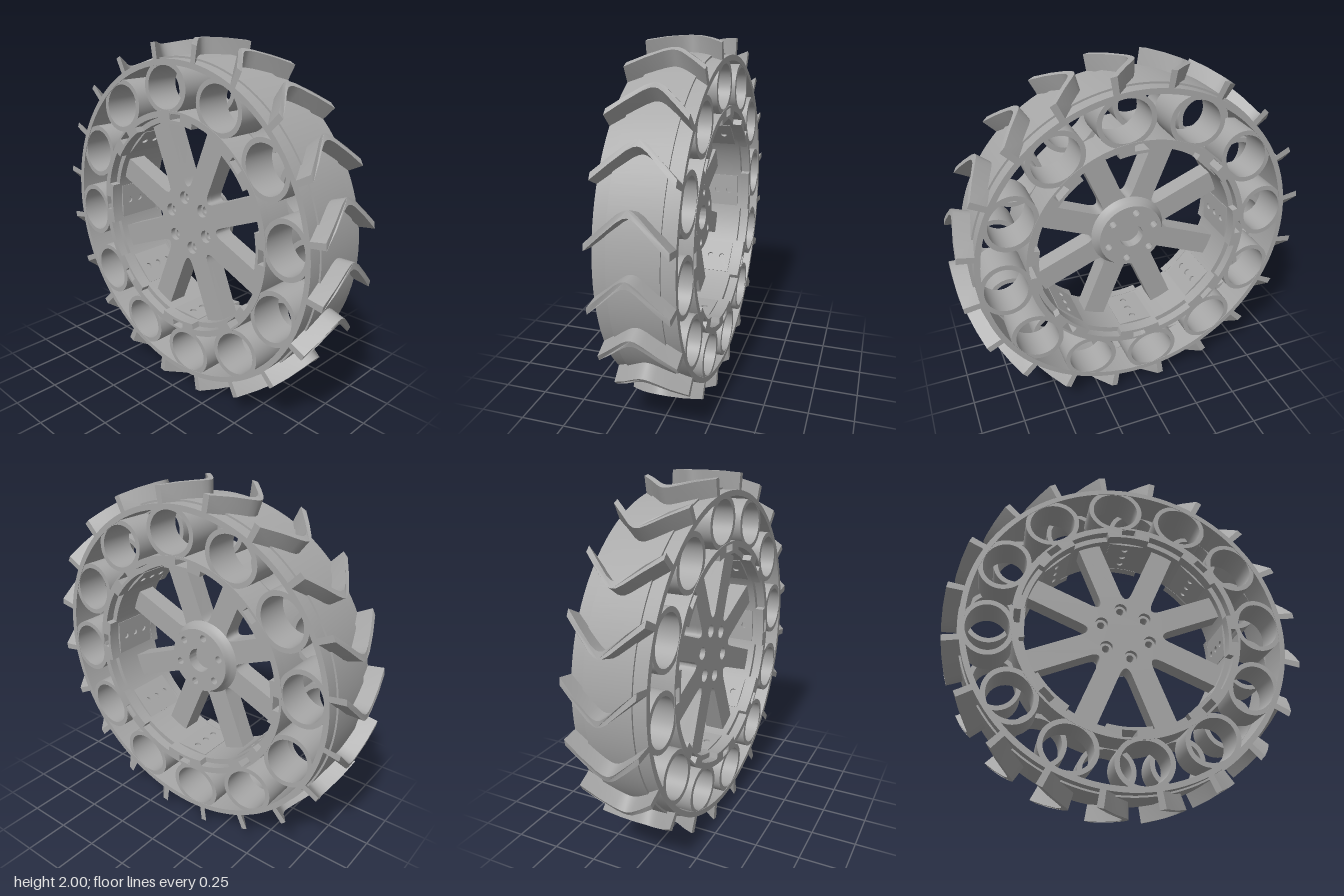
import * as THREE from 'three';
import { toCreasedNormals } from 'three/addons/utils/BufferGeometryUtils.js';

const TAU = Math.PI * 2;
const rad = THREE.MathUtils.degToRad;
const grey = new THREE.MeshStandardMaterial({ color: 0xa8a8a8 });
grey.name = 'grey plastic';

export function createModel() {
  const wheel = new THREE.Group();
  wheel.name = 'wheel';
  wheel.position.y = 1;

  const add = (name, geometry, angle = 0) => {
    const mesh = new THREE.Mesh(geometry, grey);
    mesh.name = name;
    mesh.rotation.z = angle;
    wheel.add(mesh);
    return mesh;
  };
  const extrude = (shape, z0, z1, curveSegments = 24) => {
    const g = new THREE.ExtrudeGeometry(shape, { depth: z1 - z0, bevelEnabled: false, curveSegments });
    return toCreasedNormals(g.translate(0, 0, z0), 0.5);
  };
  const lathe = (points, segments = 96) => toCreasedNormals(
    new THREE.LatheGeometry(points.map(p => new THREE.Vector2(...p)), segments).rotateX(Math.PI / 2), 0.4);
  const circle = (x, y, r) => new THREE.Path().absarc(x, y, r, 0, TAU, true);
  const polar = (r, a) => new THREE.Vector2(r * Math.cos(a), r * Math.sin(a));

  // Outer band, slightly raised along the middle
  add('treadBand', lathe([
    [0.873, -0.2], [0.903, -0.2], [0.903, -0.13], [0.913, -0.13], [0.913, 0.13],
    [0.903, 0.13], [0.903, 0.2], [0.873, 0.2], [0.873, -0.2]], 120));

  // Chevron lugs: a bent strip wrapped around the band
  const lugLine = [[-0.2, -0.157], [-0.12, -0.085], [-0.05, -0.023], [-0.02, -0.004], [0, 0],
    [0.02, -0.004], [0.05, -0.023], [0.12, -0.085], [0.2, -0.157]];
  const lugShape = new THREE.Shape([
    ...lugLine.map(([z, s]) => new THREE.Vector2(s - 0.034, z)).reverse(),
    ...lugLine.map(([z, s]) => new THREE.Vector2(s, z))]);
  const lugBase = new THREE.ExtrudeGeometry(lugShape, { depth: 1, bevelEnabled: false });
  const p = lugBase.attributes.position;
  for (let i = 0; i < p.count; i++) {
    const a = p.getX(i) / 0.95, z = p.getY(i);
    const r = p.getZ(i) > 0.5 ? 1 - 0.2 * z * z : 0.895;
    p.setXYZ(i, r * Math.cos(a), r * Math.sin(a), z);
  }
  const lugGeometry = toCreasedNormals(lugBase, 0.5);
  for (let i = 0; i < 20; i++) add('treadLug', lugGeometry, rad(2 + 18 * i));

  // Two layers of springy oval cells, offset from each other
  const cell = new THREE.Shape().absellipse(0.757, 0, 0.141, 0.158, 0, TAU);
  cell.holes.push(new THREE.Path().absellipse(0.757, 0, 0.115, 0.131, 0, TAU, true));
  const frontCell = extrude(cell, 0, 0.197);
  const backCell = extrude(cell, -0.197, 0);
  for (let i = 0; i < 12; i++) {
    add('frontCell', frontCell, rad(6 + 30 * i));
    add('backCell', backCell, rad(-6 + 30 * i));
  }

  // Inner rim with slots running through it
  const slots = () => Array.from({ length: 8 }, (_, i) => {
    const a = rad(45 * i);
    const at = (r, t) => polar(r, a).add(polar(t, a + Math.PI / 2));
    return new THREE.Path([at(0.588, -0.04), at(0.588, 0.04), at(0.625, 0.04), at(0.625, -0.04)]);
  });
  const rim = new THREE.Shape().absarc(0, 0, 0.638, 0, TAU);
  rim.holes.push(circle(0, 0, 0.574), ...slots());
  add('rimBody', extrude(rim, -0.15, 0.15, 96));

  // Rim collars, notched on the inside beside each spoke
  const collar = new THREE.Shape().absarc(0, 0, 0.638, 0, TAU);
  const notched = [];
  for (let i = 0; i < 8; i++) {
    for (let k = 0; k <= 8; k++) notched.push(polar(0.572, rad(45 * i - 12 + 3 * k)));
    for (let k = 0; k <= 7; k++) notched.push(polar(0.604, rad(45 * i + 12 + 3 * k)));
  }
  collar.holes.push(new THREE.Path(notched.reverse()), ...slots());
  add('frontCollar', extrude(collar, 0.15, 0.2, 96));
  add('backCollar', extrude(collar, -0.2, -0.15, 96));

  // Drilled pads inside the rim, between the spokes
  const pad = new THREE.Shape([[-0.1, -0.13], [0.1, -0.13], [0.1, 0.13], [-0.1, 0.13]]
    .map(q => new THREE.Vector2(...q)));
  for (const z of [-0.075, 0, 0.075]) pad.holes.push(circle(0, z, 0.018));
  const padGeometry = extrude(pad, 0.562, 0.574, 12);
  // local x, y, depth become tangent, axle and radius
  padGeometry.applyMatrix4(new THREE.Matrix4().makeBasis(
    new THREE.Vector3(0, 1, 0), new THREE.Vector3(0, 0, 1), new THREE.Vector3(1, 0, 0)));
  for (let i = 0; i < 8; i++) add('drilledPad', padGeometry, rad(45 * i));

  // Spokes and hub as one star with rounded valleys
  const boltHoles = r => Array.from({ length: 6 }, (_, i) => {
    const c = polar(0.145, rad(41.5 + 60 * i));
    return circle(c.x, c.y, r);
  });
  const star = holeRadius => {
    const s = new THREE.Shape();
    for (let i = 0; i < 8; i++) {
      const a = rad(22.5 + 45 * i), n = a + rad(45);
      const at = (r, t, d) => polar(r, d).add(polar(t, d + Math.PI / 2));
      const first = at(0.585, -0.065, a);
      if (i === 0) s.moveTo(first.x, first.y);
      else s.lineTo(first.x, first.y);
      const tip = at(0.585, 0.065, a), root = at(0.25, 0.065, a), next = at(0.25, -0.065, n);
      const c1 = at(0.19, 0.065, a), c2 = at(0.19, -0.065, n);
      s.lineTo(tip.x, tip.y);
      s.lineTo(root.x, root.y);
      s.bezierCurveTo(c1.x, c1.y, c2.x, c2.y, next.x, next.y);
    }
    s.holes.push(...boltHoles(holeRadius));
    return s;
  };
  add('spokesFront', extrude(star(0.036), 0.08, 0.11, 12));
  add('spokesBack', extrude(star(0.021), 0, 0.08, 12));

  // Rear mounting flange with a blind centre bore and a flared skirt
  const flange = new THREE.Shape().absarc(0, 0, 0.186, 0, TAU);
  flange.holes.push(circle(0, 0, 0.07), ...boltHoles(0.021));
  add('hubFlange', extrude(flange, -0.06, 0, 32));
  add('hubFlare', lathe([
    [0.184, -0.06], [0.188, -0.06], [0.192, -0.04], [0.2, -0.02], [0.218, 0], [0.184, 0], [0.184, -0.06]], 64));

  const model = new THREE.Group();
  model.name = 'spokedWheel';
  model.add(wheel);
  return model;
}
